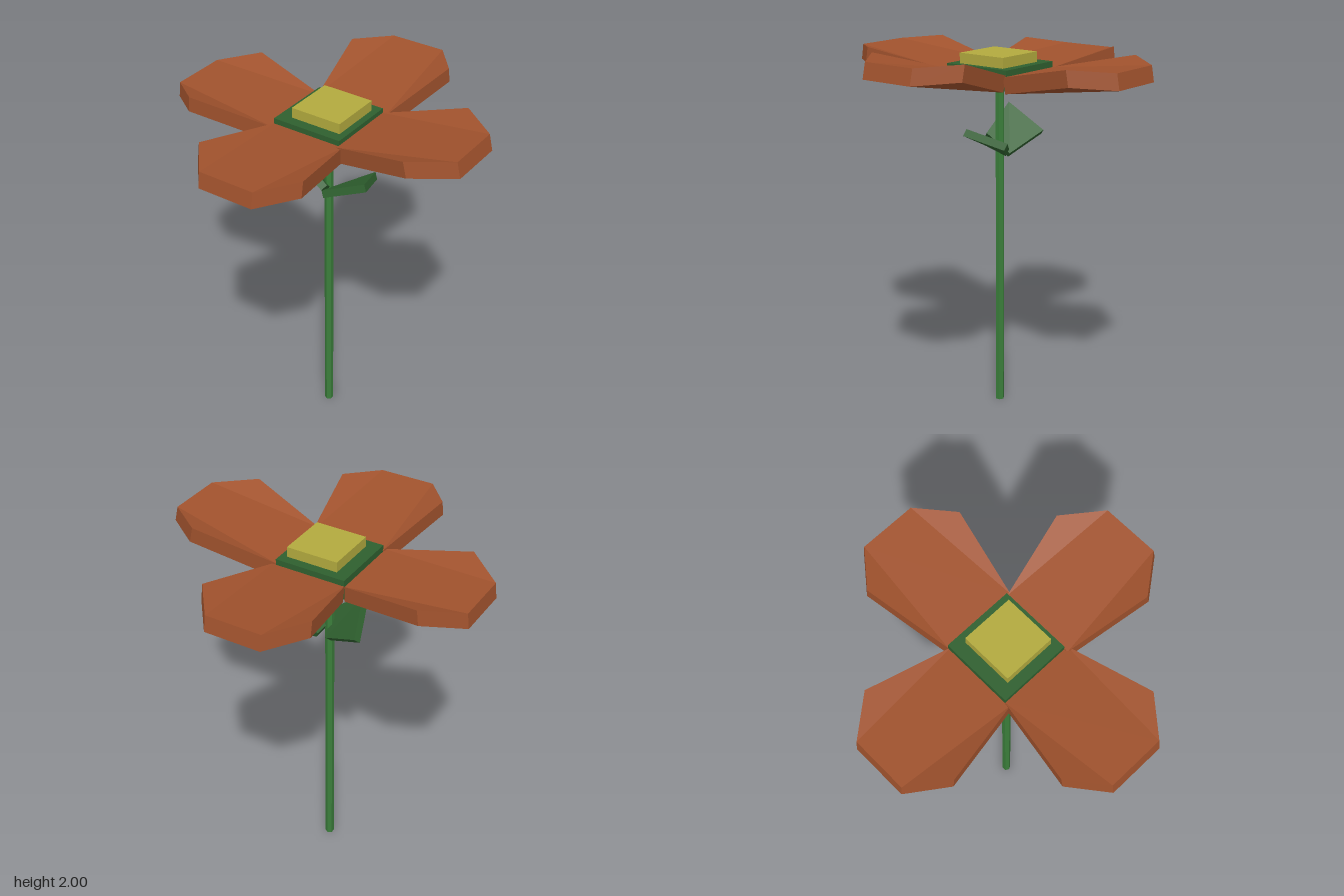
import * as THREE from 'three';

const mat = (color) => new THREE.MeshStandardMaterial({ color, flatShading: true });
const petalMat = mat(0xa0522d), darkGreen = mat(0x2f602f), stemGreen = mat(0x3a7d3a), yellow = mat(0xb2aa3e);

// Slab between two matching outlines (counter-clockwise seen from the top side)
function slab(top, offset, caps, bottomOffsets) {
  const bottom = top.map((p, i) => p.map((c, k) => c + (bottomOffsets ? bottomOffsets[i] : offset)[k]));
  const pos = [];
  const tri = (a, b, c) => pos.push(...a, ...b, ...c);
  for (const [a, b, c] of caps) {
    tri(top[a], top[b], top[c]);
    tri(bottom[a], bottom[c], bottom[b]);
  }
  top.forEach((_, i) => {
    const j = (i + 1) % top.length;
    tri(bottom[i], bottom[j], top[j]);
    tri(bottom[i], top[j], top[i]);
  });
  const g = new THREE.BufferGeometry();
  g.setAttribute('position', new THREE.Float32BufferAttribute(pos, 3));
  g.computeVertexNormals();
  return g;
}

export function createModel() {
  const group = new THREE.Group();
  const add = (name, geometry, material, x = 0, y = 0, z = 0) => {
    const m = new THREE.Mesh(geometry, material);
    m.name = name;
    m.position.set(x, y, z);
    group.add(m);
    return m;
  };

  // Six-sided stem
  add('stem', new THREE.CylinderGeometry(0.024, 0.024, 1.83, 6), stemGreen, -0.004, 0.915, 0);

  // Flower base: a plate with a recessed underside
  add('flowerBase', new THREE.BoxGeometry(0.39, 0.075, 0.39), darkGreen, -0.005, 1.8675, 0);
  const rim = new THREE.Shape([[-1, -1], [1, -1], [1, 1], [-1, 1]].map(([x, y]) => new THREE.Vector2(x * 0.195, y * 0.195)));
  rim.holes.push(new THREE.Path([[-1, -1], [-1, 1], [1, 1], [1, -1]].map(([x, y]) => new THREE.Vector2(x * 0.15, y * 0.15))));
  const rimGeo = new THREE.ExtrudeGeometry(rim, { depth: 0.03, bevelEnabled: false }).rotateX(-Math.PI / 2);
  add('flowerBaseRim', rimGeo, darkGreen, -0.005, 1.8, 0);

  // Flower centre
  add('flowerCentre', new THREE.BoxGeometry(0.285, 0.06, 0.285), yellow, 0.012, 1.93, -0.003);

  // Petals: a straight middle strip with a raised corner on each side
  const caps = [[0, 2, 3], [0, 3, 5], [0, 1, 2], [3, 4, 5]];
  const petals = [
    // name, turn, side shift, wide [u, y], tip [u, y], inner y, outward lean
    ['leftPetal', 0, 0.012, [0.62, 2.0], [0.82, 1.992], 1.88, 0.02],
    ['rightPetal', Math.PI, -0.015, [0.64, 1.94], [0.83, 1.902], 1.868, 0.01],
    ['frontPetal', -Math.PI / 2, -0.005, [0.655, 1.96], [0.835, 1.943], 1.875, 0.014],
    ['backPetal', Math.PI / 2, 0.005, [0.645, 1.97], [0.835, 1.955], 1.873, 0.015],
  ];
  for (const [name, turn, shift, wide, tip, innerY, lean] of petals) {
    const half = [[0.19, innerY, 0.205], [wide[0], wide[1], 0.302], [tip[0], tip[1], 0.153]];
    const top = [...half, ...half.map(([u, y, v]) => [u, y, -v]).reverse()].map(([u, y, v]) => [u, y, v + shift]);
    add(name, slab(top, [lean, -0.083, 0], caps), petalMat).rotation.y = turn;
  }

  // Leaves: tilted four-sided slabs
  const quad = [[0, 1, 2], [0, 2, 3]];
  const leaf = (name, bottom, up) => {
    const top = bottom.map((p) => p.map((c, k) => c + up[k]));
    add(name, slab(top, up.map((c) => -c), quad), darkGreen);
  };
  leaf('leftLeaf', [[0.015, 1.45, 0.08], [0.25, 1.55, 0.04], [0.18, 1.49, -0.175], [0.035, 1.42, -0.07]], [-0.017, 0.035, -0.009]);
  leaf('rightLeaf', [[-0.18, 1.64, 0.09], [0.01, 1.5, 0.09], [-0.03, 1.4, -0.035], [-0.24, 1.5, -0.1]], [0.018, 0.025, -0.025]);

  return group;
}
